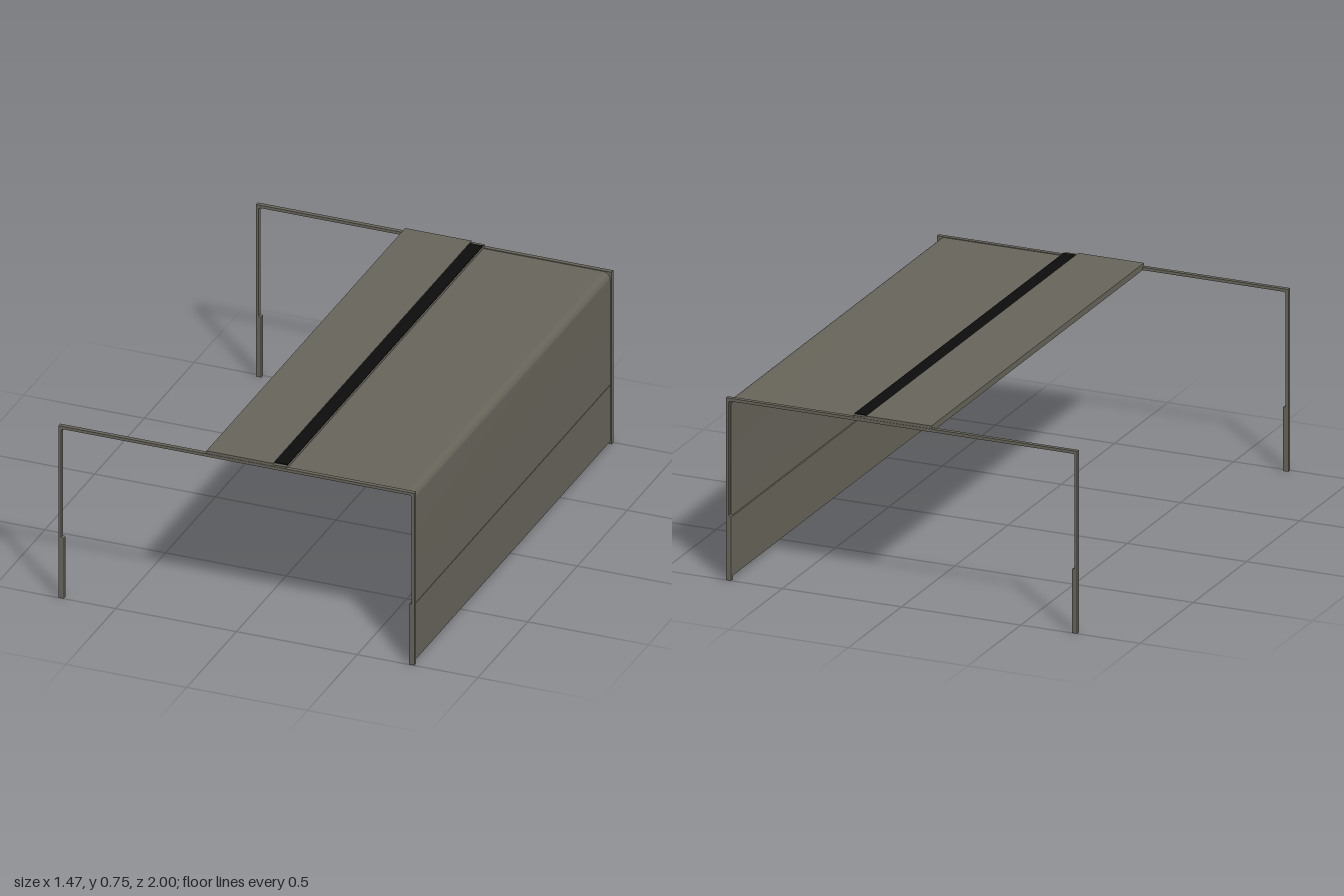
import * as THREE from 'three';
import { toCreasedNormals } from 'three/addons/utils/BufferGeometryUtils.js';

export function createModel() {
  const group = new THREE.Group();
  group.name = 'slidingCover';
  const metal = new THREE.MeshStandardMaterial({ color: 0x67645a });
  metal.name = 'grey brown metal';
  const rubber = new THREE.MeshStandardMaterial({ color: 0x0c0c0c });
  rubber.name = 'black seal';

  // Extrudes an x-y outline between -halfDepth and +halfDepth, rounded bends staying smooth
  function profile(name, shape, depth, z = 0) {
    const geo = new THREE.ExtrudeGeometry(shape, { depth, bevelEnabled: false, curveSegments: 8 });
    geo.translate(0, 0, z - depth / 2);
    const mesh = new THREE.Mesh(toCreasedNormals(geo, 0.6), metal);
    mesh.name = name;
    group.add(mesh);
  }

  function box(name, x0, x1, y0, y1, z0, z1, material = metal) {
    const mesh = new THREE.Mesh(new THREE.BoxGeometry(x1 - x0, y1 - y0, z1 - z0), material);
    mesh.name = name;
    mesh.position.set((x0 + x1) / 2, (y0 + y1) / 2, (z0 + z1) / 2);
    group.add(mesh);
  }

  // Front and back portal frames: thick feet, thin posts, filleted inner corners
  const half = 0.737, top = 0.743, inner = 0.726, under = 0.731, foot = 0.715, footTop = 0.265, fillet = 0.012;
  const frame = new THREE.Shape();
  frame.moveTo(-half, 0);
  frame.lineTo(-foot, 0);
  frame.lineTo(-foot, footTop - 0.005);
  frame.lineTo(-inner, footTop);
  frame.lineTo(-inner, under - fillet);
  frame.quadraticCurveTo(-inner, under, -inner + fillet, under);
  frame.lineTo(inner - fillet, under);
  frame.quadraticCurveTo(inner, under, inner, under - fillet);
  frame.lineTo(inner, footTop);
  frame.lineTo(foot, footTop - 0.005);
  frame.lineTo(foot, 0);
  frame.lineTo(half, 0);
  frame.lineTo(half, top);
  frame.lineTo(-half, top);
  frame.closePath();
  for (const side of [1, -1]) profile(side > 0 ? 'frontFrame' : 'backFrame', frame, 0.018, side * 0.991);

  // Curtain skin: flat roof bending down into the left wall
  const out = 0.731, skinTop = 0.74, skin = 0.009, r = 0.03;
  const curtain = new THREE.Shape();
  curtain.moveTo(0.14, skinTop);
  curtain.lineTo(0.14, skinTop - skin);
  curtain.lineTo(out - r, skinTop - skin);
  curtain.absarc(out - r, skinTop - r, r - skin, Math.PI / 2, 0, true);
  curtain.lineTo(out - skin, 0.25);
  curtain.lineTo(out, 0.25);
  curtain.lineTo(out, skinTop - r);
  curtain.absarc(out - r, skinTop - r, r, 0, Math.PI / 2, false);
  curtain.closePath();
  profile('curtain', curtain, 1.966);

  // Thicker bottom panel of the wall
  box('bottomPanel', 0.716, 0.733, 0.015, 0.257, -0.983, 0.983);

  // Leading panel lying over the frames, with its stiffening lip
  box('leadingPanel', -0.125, 0.205, 0.73, 0.75, -0.998, 0.998);
  box('leadingPanelCover', -0.125, 0.15, 0.75, 0.755, -0.998, 0.998);

  // Black seal along the joint
  box('seal', 0.15, 0.205, 0.75, 0.753, -0.982, 0.982, rubber);

  return group;
}
